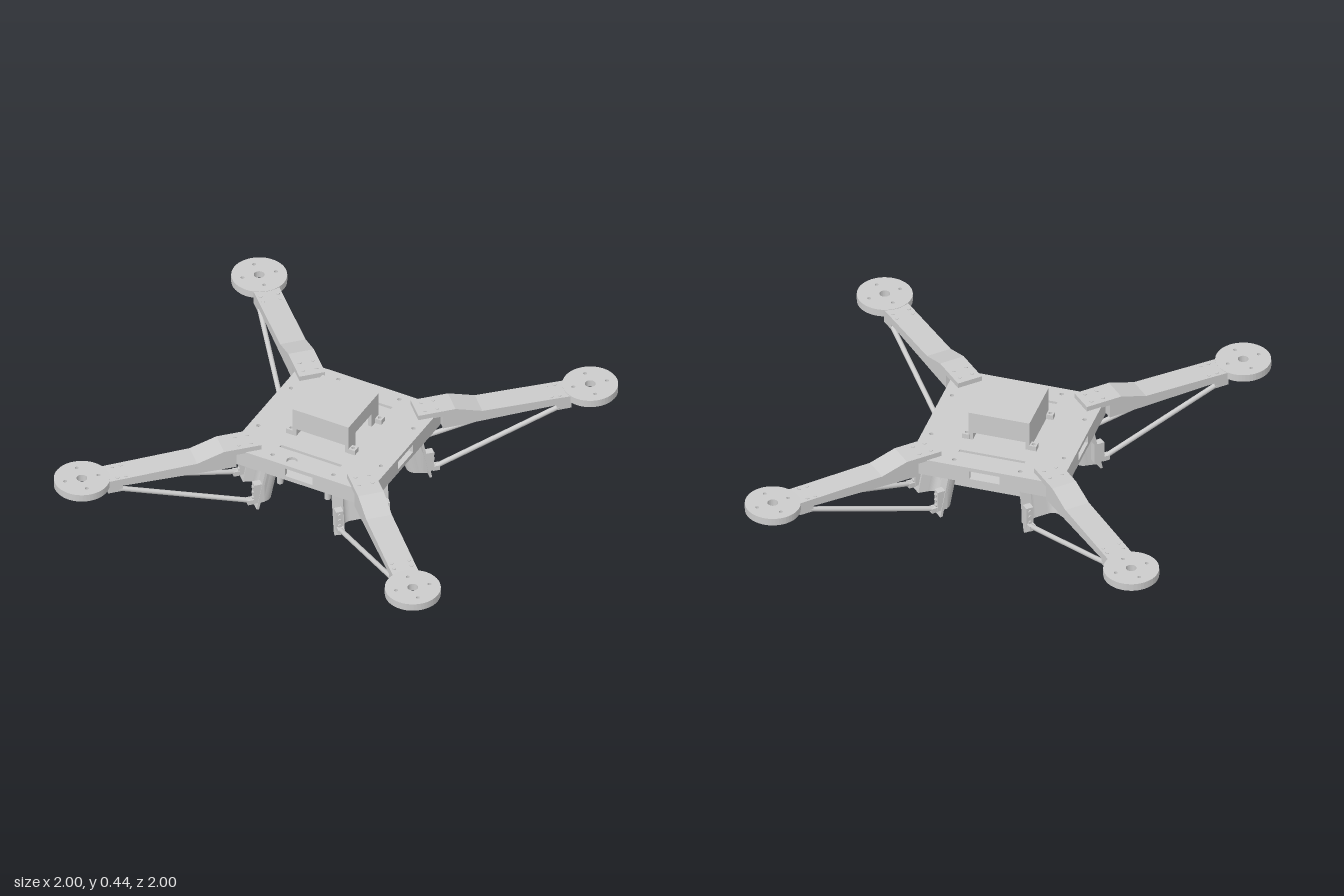
import * as THREE from 'three';

const mat = new THREE.MeshStandardMaterial({ color: 0xcccccc });

function mesh(name, geo, parent, x = 0, y = 0, z = 0) {
  const m = new THREE.Mesh(geo, mat);
  m.name = name;
  m.position.set(x, y, z);
  parent.add(m);
  return m;
}

// Box given by its min and max corners
function block(name, parent, [x0, y0, z0], [x1, y1, z1]) {
  return mesh(name, new THREE.BoxGeometry(x1 - x0, y1 - y0, z1 - z0), parent,
    (x0 + x1) / 2, (y0 + y1) / 2, (z0 + z1) / 2);
}

const polygon = pts => new THREE.Shape(pts.map(p => new THREE.Vector2(...p)));
const rect = (x0, y0, x1, y1) => polygon([[x0, y0], [x1, y0], [x1, y1], [x0, y1]]);
const disc = (x, y, r) => new THREE.Shape().absarc(x, y, r, 0, Math.PI * 2, false);
const extrude = (shape, depth) =>
  new THREE.ExtrudeGeometry(shape, { depth, bevelEnabled: false, curveSegments: 24 });

// Horizontal plate: shape is drawn in x, z; the plate hangs down from y = 0
const plate = (shape, depth) => extrude(shape, depth).rotateX(Math.PI / 2);

// Round rod between two points
function rod(name, parent, a, b, r) {
  const p = new THREE.Vector3(...a), q = new THREE.Vector3(...b);
  const m = mesh(name, new THREE.CylinderGeometry(r, r, p.distanceTo(q), 12), parent);
  m.position.copy(p).add(q).multiplyScalar(0.5);
  m.quaternion.setFromUnitVectors(new THREE.Vector3(0, 1, 0), q.sub(p).normalize());
  return m;
}

function buildBody() {
  const g = new THREE.Group();
  g.name = 'body';
  const h = 0.366;
  // Top deck with slots, screw holes and a cable hole
  const top = rect(-h, -h, h, h);
  for (const s of [-1, 1]) {
    top.holes.push(rect(-0.16, s * 0.247 - 0.008, 0.16, s * 0.247 + 0.008));
    for (const t of [-1, 1]) {
      top.holes.push(disc(s * 0.16, t * 0.322, 0.01), disc(s * 0.322, t * 0.16, 0.01));
    }
  }
  top.holes.push(disc(-0.06, 0.32, 0.026));
  mesh('topDeck', plate(top, 0.015), g, 0, 0.29, 0);
  mesh('bottomDeck', plate(rect(-h, -h, h, h), 0.015), g, 0, 0.22, 0);
  // Four side walls, each with a window
  for (let i = 0; i < 4; i++) {
    const wall = rect(-h, 0.21, h, 0.285);
    wall.holes.push(rect(-0.073, 0.227, 0.073, 0.27));
    const geo = extrude(wall, 0.02).translate(0, 0, h - 0.02);
    mesh('sideWall', geo.rotateY(i * Math.PI / 2), g);
  }
  // Slung battery box and hanging pins
  block('batteryBox', g, [-0.275, 0.083, -0.2], [0.265, 0.21, 0]);
  block('batteryBase', g, [-0.275, 0.055, -0.2], [0.265, 0.083, 0]);
  for (const x of [-0.128, 0.122]) for (const z of [0.075, 0.31]) {
    rod('pin', g, [x, 0.13, z], [x, 0.21, z], 0.015);
  }
  return g;
}

function buildCover() {
  const g = new THREE.Group();
  g.name = 'electronicsCover';
  const z = 0.147;
  block('coverTop', g, [-0.15, 0.42, -z], [0.145, 0.44, z]);
  block('closedSide', g, [-0.15, 0.29, -z], [-0.13, 0.42, z]);
  for (const s of [-1, 1]) {
    block('endWall', g, [-0.13, 0.33, s * (z - 0.01) - 0.01], [0.125, 0.42, s * (z - 0.01) + 0.01]);
  }
  // Side with a notch
  const side = polygon([[-z, 0.29], [-0.08, 0.29], [-0.08, 0.365], [0.08, 0.365],
    [0.08, 0.29], [z, 0.29], [z, 0.42], [-z, 0.42]]);
  mesh('notchedSide', extrude(side, 0.02).rotateY(Math.PI / 2), g, 0.125, 0, 0);
  // Corner mounting tabs
  for (const x of [-0.165, 0.16]) for (const tz of [-0.13, 0.13]) {
    const tab = rect(-0.018, -0.018, 0.018, 0.018);
    tab.holes.push(disc(0, 0, 0.009));
    mesh('mountingTab', plate(tab, 0.025), g, x, 0.315, tz);
  }
  return g;
}

// Leg: hat-shaped section leaning outward towards the ground
function legGeometry() {
  const s = new THREE.Shape();
  s.moveTo(0.425, -0.135);
  s.lineTo(0.425, -0.085);
  s.lineTo(0.38, -0.075);
  s.quadraticCurveTo(0.34, -0.07, 0.34, -0.03);
  s.lineTo(0.34, 0.03);
  s.quadraticCurveTo(0.34, 0.07, 0.38, 0.075);
  s.lineTo(0.425, 0.085);
  s.lineTo(0.425, 0.135);
  s.lineTo(0.413, 0.135);
  s.lineTo(0.413, 0.097);
  s.lineTo(0.378, 0.087);
  s.quadraticCurveTo(0.328, 0.08, 0.328, 0.035);
  s.lineTo(0.328, -0.035);
  s.quadraticCurveTo(0.328, -0.08, 0.378, -0.087);
  s.lineTo(0.413, -0.097);
  s.lineTo(0.413, -0.135);
  const geo = plate(s, 0.215).translate(0, 0.215, 0);
  const p = geo.attributes.position;
  for (let i = 0; i < p.count; i++) p.setX(i, p.getX(i) - 0.2 * p.getY(i));
  geo.computeVertexNormals();
  return geo;
}

// One arm with its leg, built along +x
function buildArm() {
  const g = new THREE.Group();
  g.name = 'arm';
  // Beam with a raised inner end clamped over the deck
  const beam = polygon([[0.38, 0.285], [0.5, 0.285], [0.5, 0.215], [0.62, 0.217], [1.14, 0.23],
    [1.14, 0.264], [0.69, 0.275], [0.56, 0.315], [0.38, 0.315]]);
  mesh('beam', extrude(beam, 0.124), g, 0, 0, -0.062);
  // Motor mount disc
  const mount = disc(1.23, 0, 0.13);
  mount.holes.push(disc(1.23, 0, 0.025));
  for (let i = 0; i < 4; i++) {
    const a = i * Math.PI / 2;
    mount.holes.push(disc(1.23 + 0.081 * Math.cos(a), 0.081 * Math.sin(a), 0.009));
  }
  mesh('motorMount', plate(mount, 0.037), g, 0, 0.267, 0);
  mesh('leg', legGeometry(), g);

  for (const s of [-1, 1]) {
    // Screws on the beam
    for (const x of [0.42, 0.48]) rod('screw', g, [x, 0.31, s * 0.032], [x, 0.318, s * 0.032], 0.009);
    for (const x of [1.03, 1.07]) rod('screw', g, [x, 0.26, s * 0.042], [x, 0.269, s * 0.042], 0.009);
    // Bracket on the leg flange, with three bolts
    block('bracket', g, [0.385, 0.035, s * 0.113 - 0.018], [0.435, 0.14, s * 0.113 + 0.018]);
    for (const y of [0.06, 0.09, 0.12]) {
      rod('bolt', g, [0.43, y, s * 0.113], [0.441, y, s * 0.113], 0.009);
    }
    block('strutFoot', g, [0.43, 0.03, s * 0.113 - 0.016], [0.465, 0.055, s * 0.113 + 0.016]);
    // Brace from bracket to the lug under the beam
    rod('strut', g, [0.45, 0.045, s * 0.113], [1.08, 0.212, s * 0.048], 0.012);
    block('strutLug', g, [1.05, 0.197, s * 0.045 - 0.016], [1.12, 0.235, s * 0.045 + 0.016]);
  }
  return g;
}

export function createModel() {
  const model = new THREE.Group();
  model.name = 'quadcopterFrame';
  model.add(buildBody(), buildCover());
  for (let i = 0; i < 4; i++) {
    const arm = buildArm();
    arm.rotation.y = Math.PI / 4 + i * Math.PI / 2;
    model.add(arm);
  }
  return model;
}
